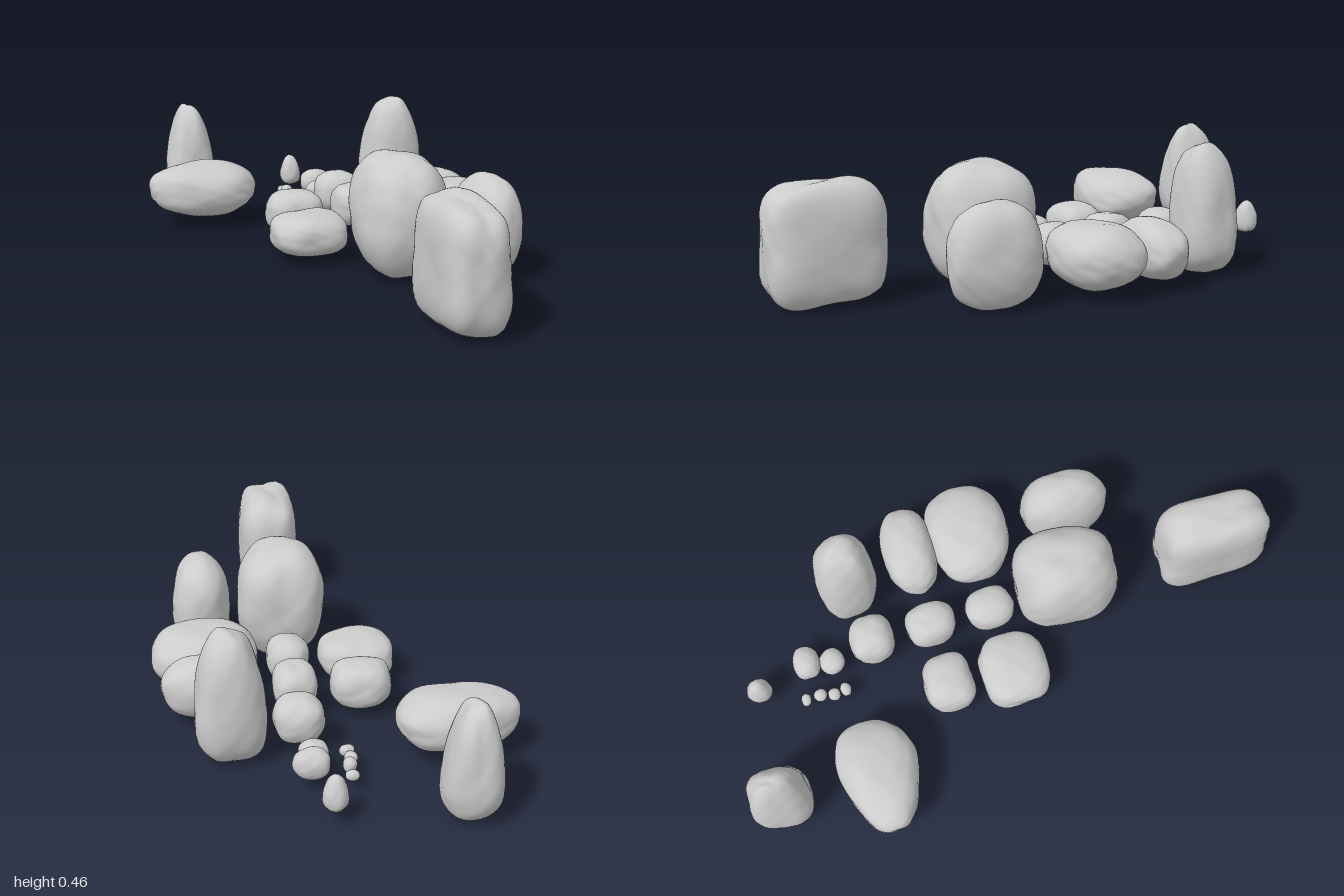
import * as THREE from 'three';
import { mergeVertices } from 'three/addons/utils/BufferGeometryUtils.js';

const material = new THREE.MeshStandardMaterial({ color: 0xcccccc });

// Lumpy superellipsoid fitted to a box.
// p: boxiness, xy/zy: narrowing of x/z towards the top, zx: narrowing of z towards +x,
// xz: narrowing of x towards +z, bumps: strength of the surface relief
function rockGeometry(seed, size, { p = 2.5, xy = 0, zy = 0, zx = 0, xz = 0, bumps = 1 } = {}) {
  let g = new THREE.IcosahedronGeometry(1, 12);
  g.deleteAttribute('normal');
  g.deleteAttribute('uv');
  g = mergeVertices(g, 1e-4);
  const pos = g.attributes.position;
  const v = new THREE.Vector3();
  const s = seed * 2.37;
  for (let i = 0; i < pos.count; i++) {
    v.fromBufferAttribute(pos, i);
    const { x, y, z } = v;
    const r = (Math.abs(x) ** p + Math.abs(y) ** p + Math.abs(z) ** p) ** (-1 / p);
    const lump = 0.035 * Math.sin(2.7 * x + 1.9 * y + s) * Math.cos(2.9 * z - 1.3 * x + 2 * s)
      + 0.02 * Math.sin(5.1 * y + 3.3 * z + 3 * s) * Math.cos(4.7 * x + s)
      + 0.009 * Math.sin(9 * x + 6 * y + s) * Math.sin(8 * z - 7 * y + 2 * s)
      + 0.004 * Math.sin(17 * y + 5 * x + s) * Math.cos(15 * x + 12 * z);
    v.multiplyScalar(r * (1 + bumps * lump));
    const w = v.clone();
    v.x *= (1 - xy * w.y) * (1 - xz * w.z);
    v.z *= (1 - zy * w.y) * (1 - zx * w.x);
    pos.setXYZ(i, v.x, v.y, v.z);
  }
  // Fit exactly to the wanted size
  g.center();
  g.computeBoundingBox();
  const b = g.boundingBox.getSize(new THREE.Vector3());
  g.scale(size[0] / b.x, size[1] / b.y, size[2] / b.z);
  g.computeVertexNormals();
  return g;
}

// name, [x min, x max], [y min, y max], [z min, z max], shape
const rocks = [
  ['frontBoulder', [-0.015, 0.21], [0.015, 0.42], [0.6, 1.0], { p: 4, xy: 0.06 }],
  ['largeRoundBoulder', [-0.055, 0.26], [0.01, 0.43], [0.075, 0.44], { p: 2.5, xz: 0.06 }],
  ['leftEggBoulder', [0.28, 0.49], [0.01, 0.355], [0.19, 0.505], { p: 2.4, xz: 0.14, xy: 0.04 }],
  ['leftWideBoulder', [0.21, 0.575], [0.03, 0.245], [-0.16, 0.135], { p: 2.3 }],
  ['leftLongRock', [0.23, 0.55], [0.04, 0.24], [-0.33, -0.14], { p: 2.4 }],
  ['leftTallBoulder', [0.22, 0.45], [0.01, 0.465], [-0.585, -0.37], { p: 2.7, xy: 0.22, zy: 0.08 }],
  ['rightFlatRock', [-0.265, 0.0], [0.03, 0.18], [-0.12, 0.12], { p: 2.7 }],
  ['rightBlockRock', [-0.22, -0.015], [0.04, 0.195], [-0.325, -0.145], { p: 2.8 }],
  ['backWideBoulder', [-0.58, -0.18], [0.05, 0.245], [-0.69, -0.41], { p: 2.4, zx: -0.25, xy: -0.05 }],
  ['backTallBoulder', [-0.45, -0.255], [0.015, 0.4], [-1.0, -0.785], { p: 2.6, xy: 0.36, zy: 0.2 }],
  ['middleRock', [0.03, 0.18], [0.045, 0.19], [-0.105, 0.07], {}],
  ['middleRock', [0.03, 0.18], [0.045, 0.2], [-0.325, -0.145], {}],
  ['middleRock', [0.03, 0.2], [0.045, 0.2], [-0.53, -0.37], {}],
  ['smallRock', [0.04, 0.135], [0.05, 0.125], [-0.65, -0.56], { p: 2.2 }],
  ['smallRock', [0.045, 0.165], [0.05, 0.15], [-0.74, -0.645], { p: 2.2 }],
  ['pearRock', [0.015, 0.095], [0.05, 0.17], [-0.92, -0.83], { p: 2.2, xy: 0.25, zy: 0.25 }],
  ['pebble', [-0.045, 0.005], [0.05, 0.09], [-0.605, -0.565], { p: 2.1 }],
  ['pebble', [-0.05, -0.005], [0.05, 0.09], [-0.65, -0.607], { p: 2.1 }],
  ['pebble', [-0.04, 0.005], [0.05, 0.1], [-0.7, -0.652], { p: 2.1 }],
  ['pebble', [-0.04, 0.005], [0.05, 0.085], [-0.745, -0.71], { p: 2.1 }],
];

export function createModel() {
  const group = new THREE.Group();
  group.name = 'rockSet';
  rocks.forEach(([name, xs, ys, zs, shape], i) => {
    const ranges = [xs, ys, zs];
    const size = ranges.map(([a, b]) => b - a);
    const mesh = new THREE.Mesh(rockGeometry(i + 1, size, shape), material);
    mesh.name = name;
    mesh.position.set(...ranges.map(([a, b]) => (a + b) / 2));
    group.add(mesh);
  });
  return group;
}
